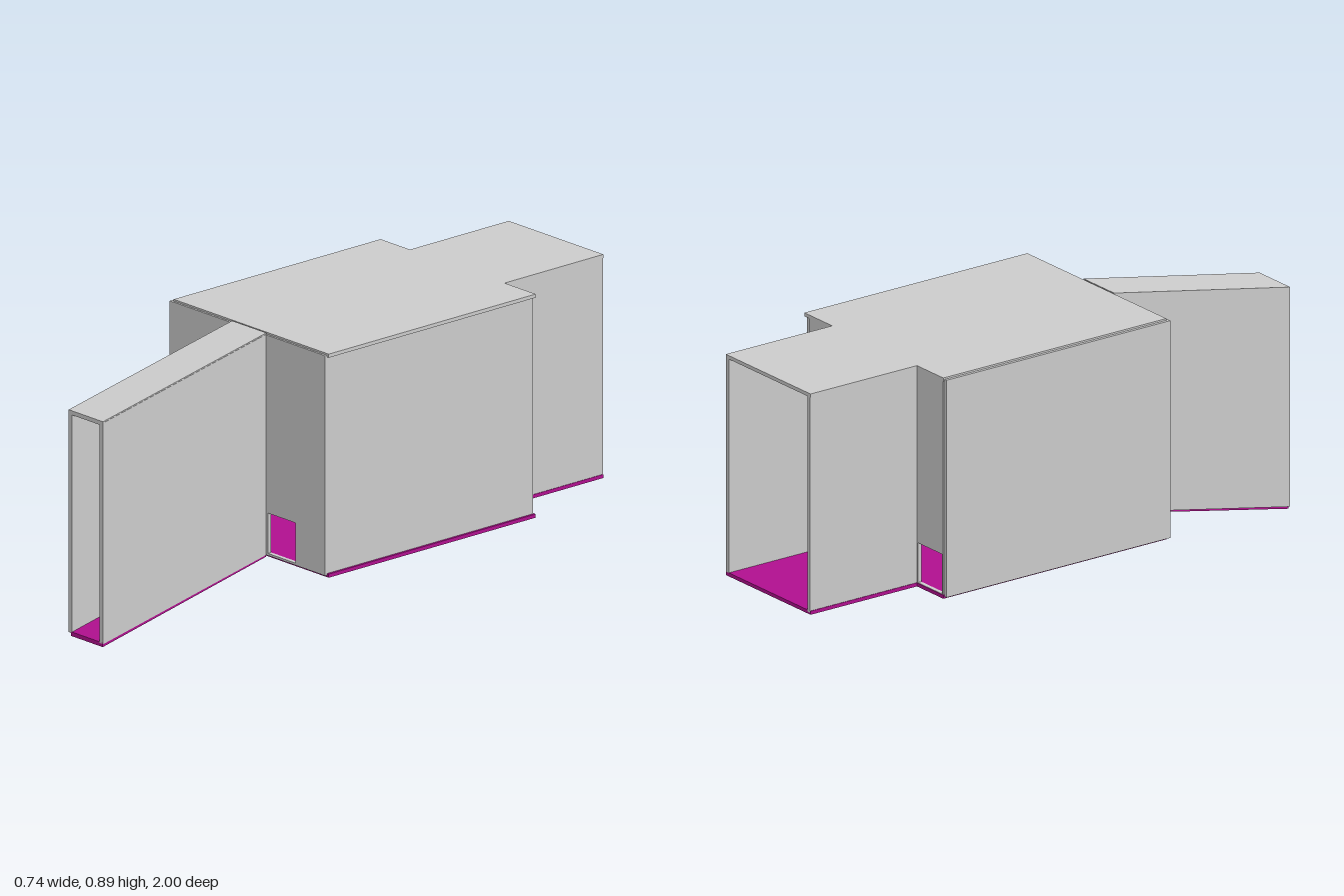
import * as THREE from 'three';

const grey = new THREE.MeshStandardMaterial({ color: 0xcccccc, flatShading: true });
const purple = new THREE.MeshStandardMaterial({ color: 0xb0108f, flatShading: true });

export function createModel() {
  const model = new THREE.Group();

  const add = (name, geometry, material) => {
    const mesh = new THREE.Mesh(geometry, material);
    mesh.name = name;
    model.add(mesh);
  };

  // Box given by its limits on each axis
  const slab = (name, [x0, x1], [y0, y1], [z0, z1], material = grey) => {
    const g = new THREE.BoxGeometry(x1 - x0, y1 - y0, z1 - z0);
    g.translate((x0 + x1) / 2, (y0 + y1) / 2, (z0 + z1) / 2);
    add(name, g, material);
  };

  // Sloped slab: a (z, y) parallelogram swept along x
  const ramp = (name, [x0, x1], [low0, low1], [high0, high1], material = grey) => {
    const shape = new THREE.Shape([
      new THREE.Vector2(0.305, high0), new THREE.Vector2(0.305, high1),
      new THREE.Vector2(1, low1), new THREE.Vector2(1, low0),
    ].reverse());
    const g = new THREE.ExtrudeGeometry(shape, { depth: x1 - x0, bevelEnabled: false });
    g.rotateY(-Math.PI / 2).translate(x1, 0, 0);
    add(name, g, material);
  };

  // Upright wall facing z, with rectangular openings near the floor
  const pierced = (name, [x0, x1], openings, [z0, z1]) => {
    const rect = (Type, a, b, c, d) => new Type([
      new THREE.Vector2(a, c), new THREE.Vector2(b, c),
      new THREE.Vector2(b, d), new THREE.Vector2(a, d),
    ]);
    const shape = rect(THREE.Shape, x0, x1, 0.15, 0.882);
    openings.forEach(([a, b]) => shape.holes.push(rect(THREE.Path, a, b, 0.157, 0.291)));
    const g = new THREE.ExtrudeGeometry(shape, { depth: z1 - z0, bevelEnabled: false });
    g.translate(0, 0, z0);
    add(name, g, grey);
  };

  const wallY = [0.15, 0.882];
  const floorY = [0.144, 0.156];
  const roofY = [0.876, 0.888];

  // Main room
  slab('roomFloor', [-0.36, 0.368], floorY, [-0.58, 0.3], purple);
  slab('roomCeiling', [-0.36, 0.368], roofY, [-0.58, 0.3]);
  slab('roomRightWall', [-0.37, -0.355], wallY, [-0.575, 0.308]);
  slab('roomLeftWall', [0.345, 0.36], wallY, [-0.575, 0.308]);
  pierced('roomFrontWall', [-0.356, 0.346], [[-0.212, -0.083], [0.09, 0.22]], [0.293, 0.307]);
  pierced('roomBackRightWall', [-0.356, -0.208], [[-0.35, -0.224]], [-0.578, -0.564]);
  pierced('roomBackLeftWall', [0.208, 0.346], [[0.224, 0.341]], [-0.578, -0.564]);

  // Wide rear passage, open at its end
  slab('rearFloor', [-0.222, 0.222], floorY, [-1, -0.58], purple);
  slab('rearCeiling', [-0.222, 0.222], roofY, [-1, -0.58]);
  slab('rearRightWall', [-0.22, -0.206], [0.15, 0.88], [-1, -0.57]);
  slab('rearLeftWall', [0.206, 0.22], [0.15, 0.88], [-1, -0.57]);

  // Narrow sloping passage, open at its front
  ramp('rampFloor', [-0.07, 0.08], [0, 0.014], [0.143, 0.157], purple);
  ramp('rampCeiling', [-0.08, 0.081], [0.736, 0.75], [0.874, 0.888]);
  ramp('rampRightWall', [-0.08, -0.064], [0.01, 0.746], [0.15, 0.884]);
  ramp('rampLeftWall', [0.066, 0.082], [0.01, 0.746], [0.15, 0.884]);

  return model;
}
